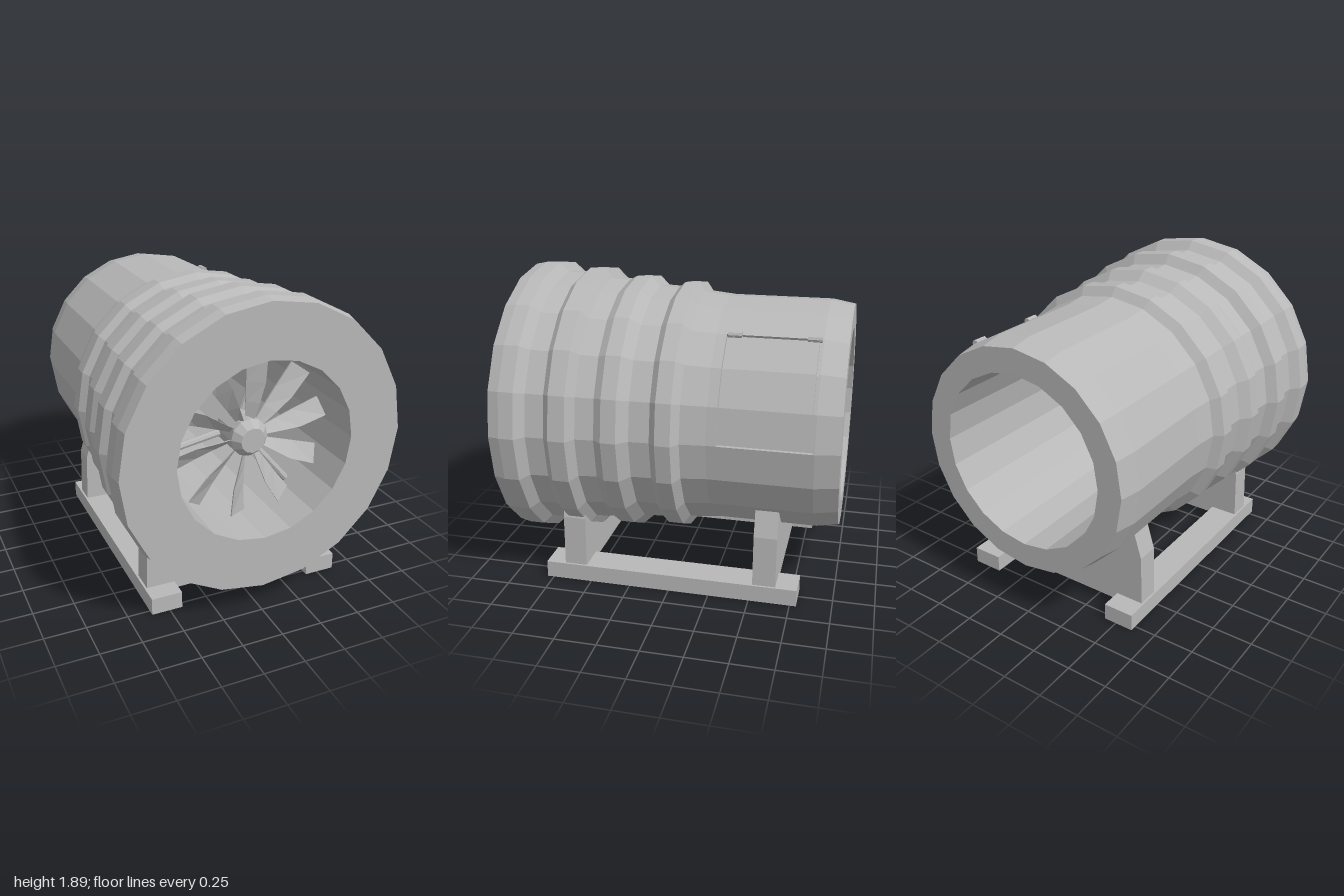
import * as THREE from 'three';

const AXIS_Y = 1.025, SIDES = 20, R = 0.71;
const rad = THREE.MathUtils.degToRad;
const grey = new THREE.MeshStandardMaterial({ color: 0xb8b8b8 });
grey.name = 'grey metal';

// Faceted mesh with one normal per face
function part(name, geometry, parent) {
  const g = geometry.index ? geometry.toNonIndexed() : geometry;
  g.computeVertexNormals();
  const mesh = new THREE.Mesh(g, grey);
  mesh.name = name;
  parent.add(mesh);
  return mesh;
}

// Lathe around z from [radius, z] pairs; angles in degrees from +x
function turned(profile, sides, start = 0, sweep = 360) {
  const pts = profile.map(([r, z]) => new THREE.Vector2(r, z));
  return new THREE.LatheGeometry(pts, sides, rad(start + 90), rad(sweep)).rotateX(Math.PI / 2);
}

// Radius of the 20-sided barrel at any angle
const facetRadius = (r, a) => r * Math.cos(rad(9)) / Math.cos(rad((((a % 18) + 18) % 18) - 9));

// Curved plate following the barrel facets
function sector(r0, r1, angles, z0, z1) {
  const at = (r, a) => {
    const f = facetRadius(r, a);
    return new THREE.Vector2(f * Math.cos(rad(a)), f * Math.sin(rad(a)));
  };
  const pts = [...angles.map(a => at(r1, a)), ...[...angles].reverse().map(a => at(r0, a))];
  return new THREE.ExtrudeGeometry(new THREE.Shape(pts), { depth: z1 - z0, bevelEnabled: false })
    .translate(0, 0, z0);
}

function bladeGeometry() {
  // radius, left edge, right edge, pitch
  const sections = [
    [0.09, 0.0, 0.03, 50], [0.2, 0.0, 0.06, 42], [0.32, 0.0, 0.092, 34], [0.49, -0.003, 0.105, 26]
  ];
  const pos = [], index = [], t = 0.005;
  for (const [r, x0, x1, pitch] of sections) {
    const dz = (x1 - x0) / 2 * Math.tan(rad(pitch));
    pos.push(x0, r, -dz + t, x1, r, dz + t, x1, r, dz - t, x0, r, -dz - t);
  }
  for (let i = 0; i < sections.length - 1; i++) {
    for (let k = 0; k < 4; k++) {
      const a = i * 4 + k, b = i * 4 + (k + 1) % 4;
      index.push(a, b, b + 4, a, b + 4, a + 4);
    }
  }
  const e = (sections.length - 1) * 4;
  index.push(e, e + 1, e + 2, e, e + 2, e + 3);
  const g = new THREE.BufferGeometry();
  g.setAttribute('position', new THREE.Float32BufferAttribute(pos, 3));
  g.setIndex(index);
  return g;
}

function saddleShape() {
  const s = new THREE.Shape();
  s.moveTo(-0.6, 0.06);
  s.lineTo(0.6, 0.06);
  s.lineTo(0.59, 0.42);
  s.lineTo(0.53, 0.62);
  // concave cradle hidden inside the barrel wall
  for (let a = -36; a >= -144; a -= 18) {
    s.lineTo(0.64 * Math.cos(rad(a)), AXIS_Y + 0.64 * Math.sin(rad(a)));
  }
  s.lineTo(-0.53, 0.62);
  s.lineTo(-0.59, 0.42);
  s.closePath();
  return s;
}

export function createModel() {
  const model = new THREE.Group();
  model.name = 'ductFan';
  const drum = new THREE.Group();
  drum.name = 'drum';
  drum.position.y = AXIS_Y;
  model.add(drum);

  // Barrel: ribbed outside, straight bore, open at both ends
  const z0 = -0.85, z1 = -0.31;
  part('barrel', turned([
    [R, z1], [R, -0.25], [0.725, -0.1], [0.78, -0.06], [0.78, 0.03], [0.745, 0.07],
    [0.75, 0.19], [0.805, 0.25], [0.805, 0.34], [0.775, 0.39], [0.785, 0.5], [0.845, 0.54],
    [0.845, 0.64], [0.81, 0.68], [0.815, 0.79], [0.87, 0.84], [0.87, 0.93], [0.855, 1],
    [0.535, 1], [0.535, -1], [0.685, -1], [R, -0.86], [R, z0]
  ], SIDES), drum);
  part('barrelBand', turned([[R, z0], [R, z1]], 17, 54, 306), drum);

  // Access hatch set into a shallow recess
  part('hatchRecess', turned([[R, z0], [0.685, z0], [0.685, z1], [R, z1]], 3, 0, 54), drum);
  part('lowerHatchJamb', sector(0.68, R, [-1, 0], z0, z1), drum);
  part('upperHatchJamb', sector(0.68, R, [54, 55], z0, z1), drum);
  part('hatch', sector(0.68, R, [1, 18, 36, 53], z0 + 0.013, z1 - 0.013), drum);
  for (const z of [-0.36, -0.81]) {
    const hinge = new THREE.Group();
    hinge.name = 'hinge';
    hinge.position.set(R * Math.cos(rad(54)), R * Math.sin(rad(54)), z);
    drum.add(hinge);
    part('hingePin', new THREE.CylinderGeometry(0.02, 0.02, 0.08, 8).rotateX(Math.PI / 2), hinge);
    const leaf = part('hingeLeaf', new THREE.BoxGeometry(0.036, 0.012, 0.08), hinge);
    leaf.rotation.z = rad(-45);
  }

  // Fan: hub, ten twisted blades and three support struts
  const fan = new THREE.Group();
  fan.name = 'fan';
  drum.add(fan);
  part('hub', turned([
    [0, 0.54], [0.085, 0.54], [0.115, 0.58], [0.115, 0.78], [0.075, 0.83], [0, 0.83]
  ], 12), fan);
  const blade = bladeGeometry();
  for (let i = 0; i < 10; i++) {
    const b = part('blade', blade, fan);
    b.position.z = 0.75;
    b.rotation.z = i * Math.PI / 5;
  }
  for (const a of [70, 190, 310]) {
    const strut = part('strut', new THREE.CylinderGeometry(0.022, 0.022, 0.46, 8).translate(0, 0.315, 0), fan);
    strut.position.z = 0.61;
    strut.rotation.z = rad(a - 90);
  }

  // Stand: two rails and two saddles
  for (const side of [-1, 1]) {
    part(side > 0 ? 'leftRail' : 'rightRail', new THREE.BoxGeometry(0.19, 0.105, 1.58), model)
      .position.set(side * 0.517, 0.0525, 0);
  }
  for (const [name, z] of [['frontSaddle', 0.53], ['rearSaddle', -0.66]]) {
    part(name, new THREE.ExtrudeGeometry(saddleShape(), { depth: 0.14, bevelEnabled: false }), model)
      .position.z = z;
  }
  return model;
}
